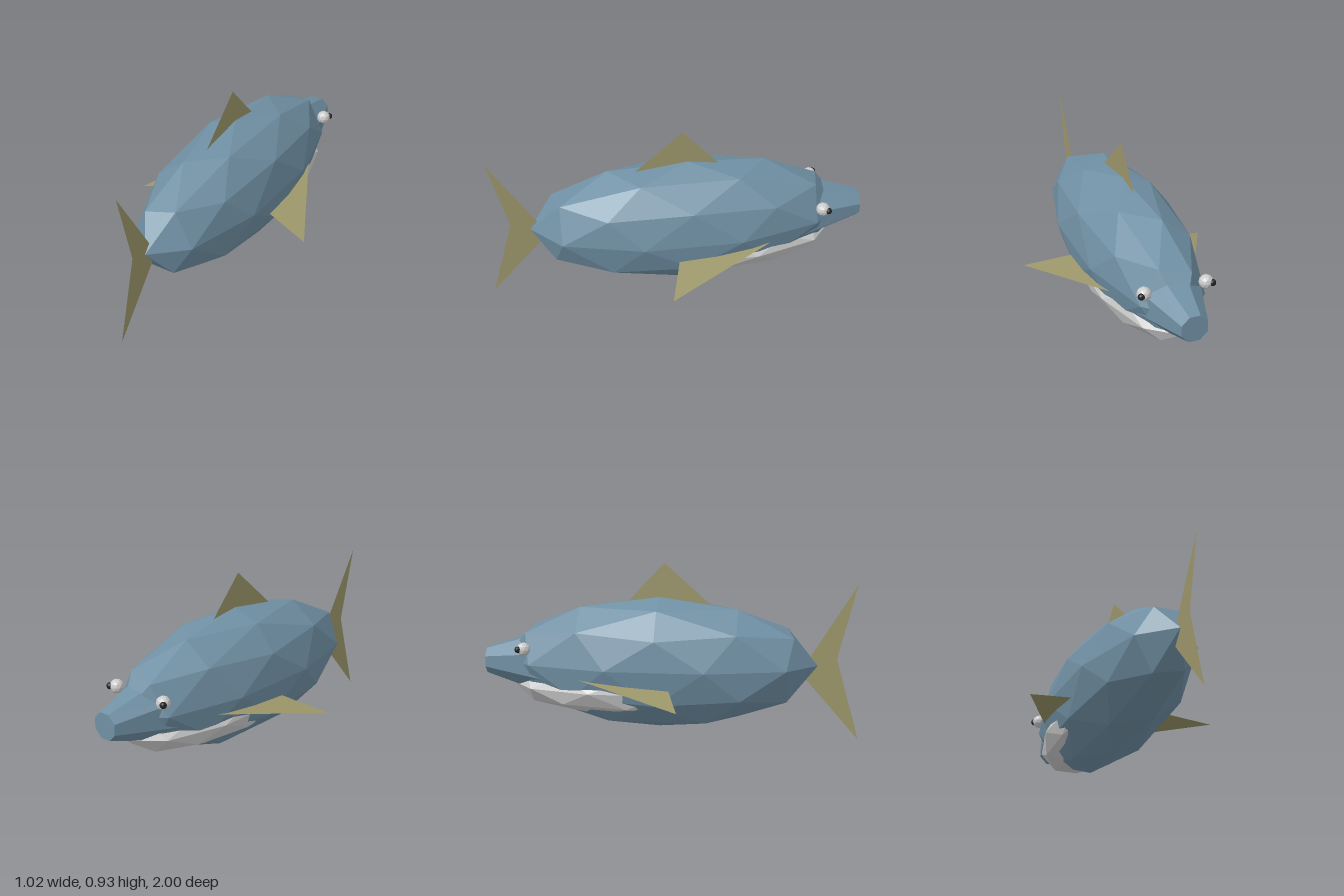
import * as THREE from 'three';

const paint = (color, side = THREE.FrontSide) =>
  new THREE.MeshStandardMaterial({ color, flatShading: true, side });

const skin = paint(0x7090a4);
const finSkin = paint(0x9c966a, THREE.DoubleSide);
const pale = paint(0xcccccc);
const dark = paint(0x222222);

export function createModel() {
  const model = new THREE.Group();

  const add = (name, geometry, material, x = 0, y = 0, z = 0) => {
    const mesh = new THREE.Mesh(geometry, material);
    mesh.name = name;
    mesh.position.set(x, y, z);
    model.add(mesh);
    return mesh;
  };

  // Faceted ellipsoid with one corner pointing straight up
  const ellipsoid = (rx, ry, rz) =>
    new THREE.IcosahedronGeometry(1, 1)
      .rotateX(-Math.atan2(1 + Math.sqrt(5), 2))
      .rotateY(-Math.PI / 2)
      .scale(rx, ry, rz);

  // Flat fin fanned out from its first point
  const fin = (name, points) => {
    const corners = [];
    for (let i = 1; i < points.length - 1; i++) {
      corners.push(...points[0], ...points[i], ...points[i + 1]);
    }
    const geometry = new THREE.BufferGeometry();
    geometry.setAttribute('position', new THREE.Float32BufferAttribute(corners, 3));
    geometry.computeVertexNormals();
    add(name, geometry, finSkin);
  };

  // Body, and the pale lower jaw that breaks through its underside
  add('body', ellipsoid(0.291, 0.352, 0.84), skin, 0, 0.395, -0.06);
  add('lowerJaw', ellipsoid(0.26, 0.16, 0.65), pale, 0, 0.265, -0.21);

  // Blunt eight-sided snout
  const snout = new THREE.CylinderGeometry(0.073, 0.203, 0.4, 8)
    .rotateY(Math.PI / 8)
    .rotateX(-Math.PI / 2);
  add('snout', snout, skin, 0, 0.388, -0.8);

  // Fins on the centre line
  fin('dorsalFin', [[0, 0.93, -0.035], [0, 0.65, 0.28], [0, 0.65, -0.294]]);
  fin('tailFin', [[0, 0.356, 0.687], [0, 0.83, 0.98], [0, 0.435, 0.88], [0, 0, 1]]);

  // Mirrored side fins and eyes
  for (const [side, s] of [['left', 1], ['right', -1]]) {
    fin(side + 'SideFin', [[0.51 * s, 0.245, 0.085], [0.2 * s, 0.35, -0.53], [0.2 * s, 0.31, 0]]);
    add(side + 'Eye', ellipsoid(0.037, 0.037, 0.037), pale, 0.162 * s, 0.48, -0.765);
    add(side + 'Pupil', ellipsoid(0.018, 0.018, 0.018), dark, 0.185 * s, 0.482, -0.789);
  }

  return model;
}
